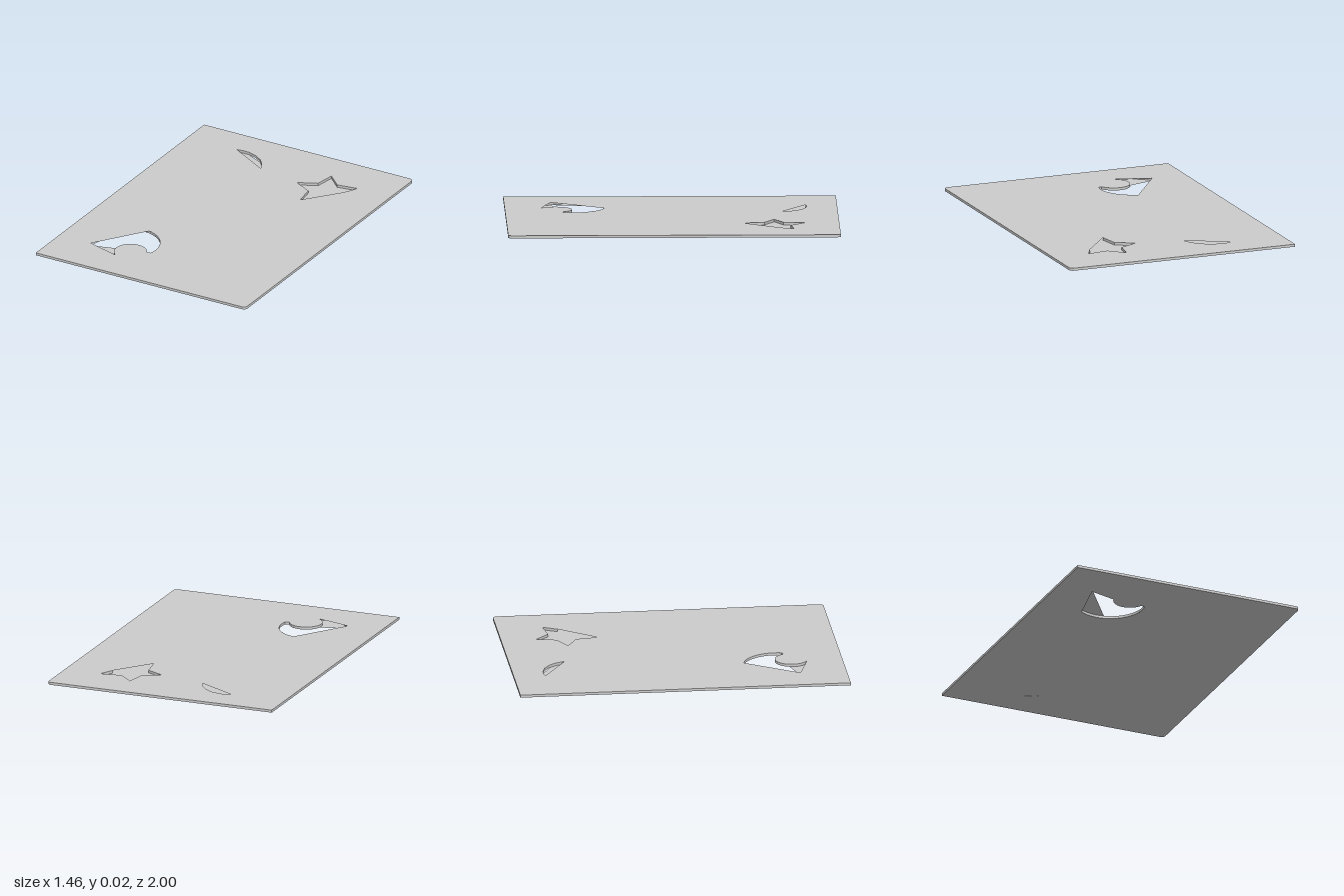
import * as THREE from 'three';

const T = 0.016; // plate thickness
const mat = new THREE.MeshStandardMaterial({ color: 0xcccccc, flatShading: true, side: THREE.DoubleSide });

// points [x, z] along a circular arc
function arc(cx, cz, r, a0, a1, n) {
  const pts = [];
  for (let i = 0; i <= n; i++) {
    const a = a0 + (a1 - a0) * i / n;
    pts.push([cx + r * Math.cos(a), cz + r * Math.sin(a)]);
  }
  return pts;
}

// flat sheet with holes at height y, facing up or down
function sheet(name, outline, holes, y, up) {
  const v = (pts) => pts.map(([x, z]) => new THREE.Vector2(x, up ? -z : z));
  const shape = new THREE.Shape(v(outline));
  holes.forEach((h) => shape.holes.push(new THREE.Path(v(h))));
  const geo = new THREE.ShapeGeometry(shape);
  geo.rotateX(up ? -Math.PI / 2 : Math.PI / 2);
  geo.translate(0, y, 0);
  const mesh = new THREE.Mesh(geo, mat);
  mesh.name = name;
  return mesh;
}

// upright strip from bottom to top along a line of points
function wall(name, pts, closed) {
  const pos = [], n = pts.length;
  for (let i = 0; i < (closed ? n : n - 1); i++) {
    const [ax, az] = pts[i], [bx, bz] = pts[(i + 1) % n];
    pos.push(ax, 0, az, ax, T, az, bx, T, bz, ax, 0, az, bx, T, bz, bx, 0, bz);
  }
  const geo = new THREE.BufferGeometry();
  geo.setAttribute('position', new THREE.Float32BufferAttribute(pos, 3));
  geo.computeVertexNormals();
  const mesh = new THREE.Mesh(geo, mat);
  mesh.name = name;
  return mesh;
}

export function createModel() {
  const group = new THREE.Group();
  group.name = 'plate';

  // plate outline with two rounded corners on +x
  const outline = [
    [-0.73, -1],
    ...arc(0.705, -0.975, 0.025, -Math.PI / 2, 0, 6),
    ...arc(0.705, 0.975, 0.025, 0, Math.PI / 2, 6),
    [-0.73, 1],
  ];

  // large crescent: the two faces are cut differently
  const outer = (a0, a1, n) => arc(-0.337, 0.606, 0.209, a0, a1, n);
  const inner = (a0, a1, n) => arc(-0.25, 0.695, 0.1, a0, a1, n);
  const crescentTop = [...outer(0.21, -1.346, 12), [-0.51, 0.72], ...inner(2.055, 5.9, 20)];
  const crescentBottom = [...outer(0.21, -2.14, 18), [-0.51, 0.72], ...inner(3.387, 5.9, 14)];
  const crescentWall = [...outer(0.21, -4.91, 36), ...inner(2.055, 5.9, 20)];

  // small crescent: a segment on top, a sliver through the bottom
  const rim = [[-0.39, -0.81], [-0.35, -0.816], [-0.31, -0.815], [-0.25, -0.797],
    [-0.2, -0.763], [-0.165, -0.72], [-0.14, -0.665]];
  const sliver = rim.slice(2, 5);

  // star recess, open on the top face only
  const star = [[0.28, -0.79], [0.37, -0.705], [0.5, -0.725], [0.455, -0.64],
    [0.28, -0.42], [0.26, -0.55], [0.145, -0.61], [0.26, -0.665]];
  const starWall = [...star.slice(4), ...star.slice(0, 4)];

  group.add(
    sheet('topFace', outline, [crescentTop, rim, star], T, true),
    sheet('bottomFace', outline, [crescentBottom, sliver], 0, false),
    wall('outerEdge', outline, true),
    wall('largeCrescentWall', crescentWall, true),
    wall('smallCrescentWall', rim, false),
    wall('starWall', starWall, false),
  );
  return group;
}
